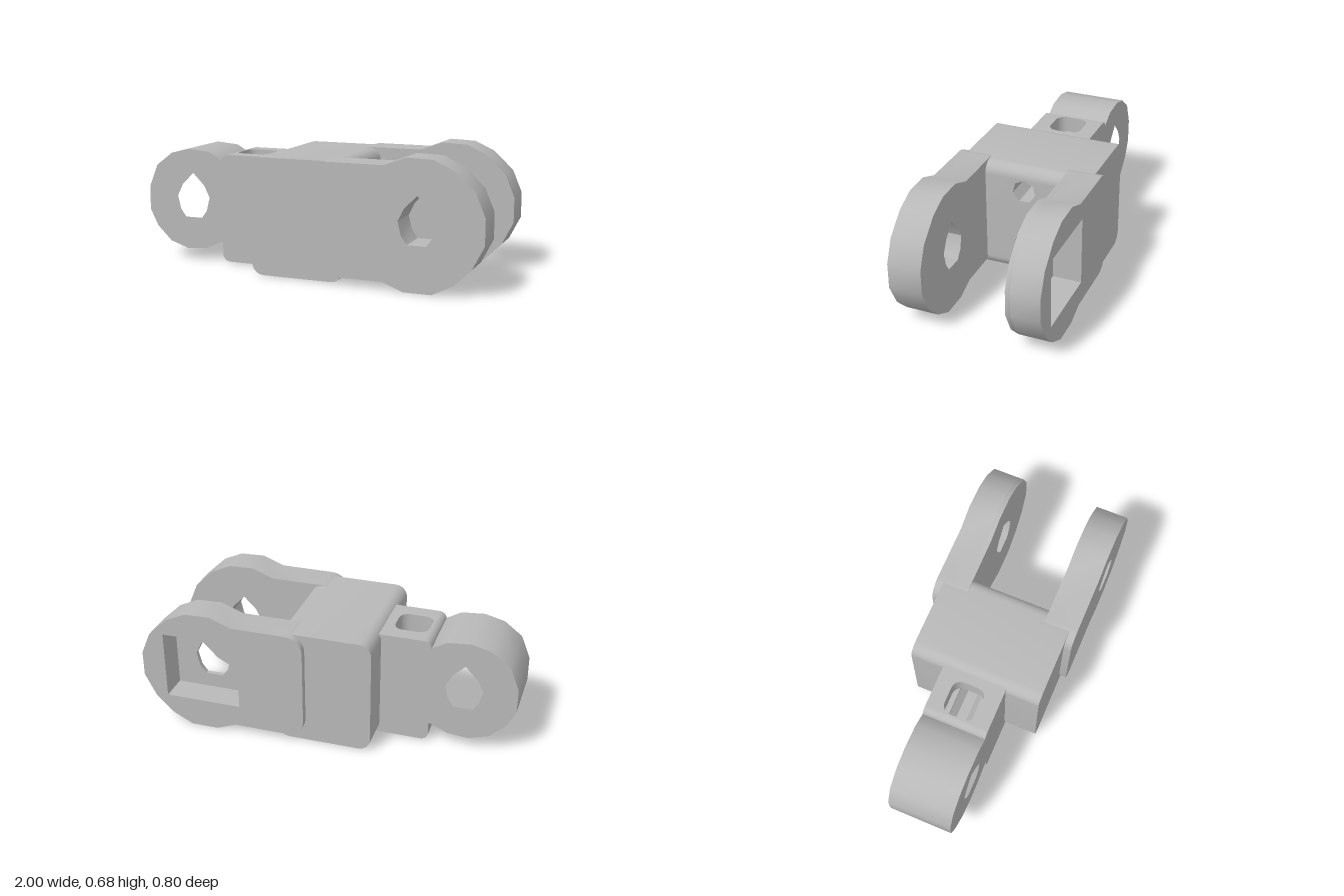
import * as THREE from 'three';
import { toCreasedNormals } from 'three/addons/utils/BufferGeometryUtils.js';

const grey = new THREE.MeshStandardMaterial({ color: 0xb8b8b8 });
grey.name = 'grey';

const pts = (list) => list.map(([x, y]) => new THREE.Vector2(x, y));
const polygon = (list, holes = []) => {
  const s = new THREE.Shape(pts(list));
  s.holes = holes.map((h) => new THREE.Path(pts(h)));
  return s;
};
const rect = (x0, y0, x1, y1) => [[x0, y0], [x1, y0], [x1, y1], [x0, y1]];

// Points of a quarter-circle corner, counted from angle a (in quarter turns)
const corner = (cx, cy, r, a, n = 6) => Array.from({ length: n + 1 }, (_, i) => {
  const t = (a + i / n) * Math.PI / 2;
  return [cx + r * Math.cos(t), cy + r * Math.sin(t)];
});

const heptagon = (cy, r) => Array.from({ length: 7 }, (_, i) => {
  const a = Math.PI / 2 + i * Math.PI * 2 / 7;
  return [r * Math.cos(a), cy + r * Math.sin(a)];
});

// Teardrop pin hole, centred on cx
const pinHole = (cx) => {
  const half = [[0.067, 0.43], [0.1, 0.364], [0.082, 0.29], [0.05, 0.246]];
  return [[cx, 0.497], ...half.map(([x, y]) => [cx + x, y]),
    ...half.slice().reverse().map(([x, y]) => [cx - x, y])];
};

const extrude = (shape, z0, z1) => {
  const g = new THREE.ExtrudeGeometry(shape, { depth: z1 - z0, bevelEnabled: false });
  return g.translate(0, 0, z0);
};

// Extrude through layers [position, inset]; move(p, inset) pulls chosen edges inward
const extrudeLayers = (shape, layers, move) => {
  const n = layers.length - 1;
  const g = new THREE.ExtrudeGeometry(shape, { depth: n, steps: n, bevelEnabled: false });
  const pos = g.attributes.position, p = new THREE.Vector3();
  for (let i = 0; i < pos.count; i++) {
    p.fromBufferAttribute(pos, i);
    const [at, inset] = layers[Math.round(p.z)];
    move(p, inset);
    pos.setXYZ(i, p.x, p.y, at);
  }
  return g;
};

export function createModel() {
  const model = new THREE.Group();
  model.name = 'clevisLink';
  const add = (name, geometry) => {
    const mesh = new THREE.Mesh(toCreasedNormals(geometry, 0.6), grey);
    mesh.name = name;
    model.add(mesh);
  };

  // Central body with two bolt bores along x and rounded end edges
  const x0 = -0.27, x1 = 0.245, yLow = 0.005, yHigh = 0.637, r = 0.065, n = 6;
  const layers = [];
  for (let i = 0; i <= n; i++) {
    const a = i / n * Math.PI / 2;
    layers.push([x0 + r * (1 - Math.cos(a)), r * (1 - Math.sin(a))]);
  }
  for (let i = n; i >= 0; i--) {
    const a = i / n * Math.PI / 2;
    layers.push([x1 - r * (1 - Math.cos(a)), r * (1 - Math.sin(a))]);
  }
  const bodyShape = polygon(rect(-0.36, yLow, 0.36, yHigh),
    [heptagon(0.505, 0.065), heptagon(0.18, 0.061)]);
  const body = extrudeLayers(bodyShape, layers, (p, inset) => {
    if (p.y > yHigh - 0.001) p.y -= inset;
    else if (p.y < yLow + 0.001) p.y += inset;
  });
  add('body', body.rotateY(Math.PI / 2));

  // Fork arms
  const armOutline = [
    ...corner(0.178, 0.55, 0.09, 1), ...corner(0.178, 0.135, 0.09, 2),
    [0.478, 0.045], [0.585, 0.003], [0.735, 0.003], [0.847, 0.06], [0.938, 0.15],
    [1, 0.273], [1, 0.41], [0.949, 0.53], [0.842, 0.631], [0.735, 0.68],
    [0.596, 0.685], [0.478, 0.64],
  ];
  const armShape = polygon(armOutline, [pinHole(0.655)]);
  const pocketShape = polygon(armOutline, [rect(0.45, 0.165, 0.87, 0.54)]);
  add('frontArm', extrude(armShape, 0.22, 0.4));
  add('backArmWeb', extrude(armShape, -0.245, -0.22));
  add('backArmNutPocket', extrude(pocketShape, -0.4, -0.245));

  // Knuckle on the narrow end
  const knuckle = polygon([
    [-1, 0.406], [-0.95, 0.53], [-0.853, 0.604], [-0.746, 0.631], [-0.618, 0.62],
    [-0.527, 0.567], [-0.48, 0.5], [-0.45, 0.4], [-0.45, 0.29], [-0.48, 0.19],
    [-0.543, 0.118], [-0.644, 0.075], [-0.757, 0.064], [-0.869, 0.1],
    [-0.954, 0.182], [-1, 0.273],
  ], [pinHole(-0.72)]);
  add('knuckle', extrude(knuckle, -0.175, 0.175));

  // Tongue core, with the bolt bores showing as troughs above and below
  const core = polygon([
    [-0.175, 0.505], [-0.061, 0.505], [-0.061, 0.491], [-0.027, 0.448], [0.027, 0.448],
    [0.061, 0.491], [0.061, 0.505], [0.175, 0.505], [0.175, 0.18], [0.061, 0.18],
    [0.049, 0.219], [0, 0.243], [-0.049, 0.219], [-0.061, 0.18], [-0.175, 0.18],
  ]);
  add('tongueCore', extrude(core, -0.54, -0.24).rotateY(Math.PI / 2));

  // Slotted tongue plates, rounded at the outer edge next to the knuckle
  const s = 0.05, slot = [
    ...corner(-0.31 - s, 0.09 - s, s, 0, 4), ...corner(-0.495 + s, 0.09 - s, s, 1, 4),
    ...corner(-0.495 + s, -0.09 + s, s, 2, 4), ...corner(-0.31 - s, -0.09 + s, s, 3, 4),
  ];
  const plateShape = polygon(rect(-0.54, -0.175, -0.24, 0.175), [slot]);
  const plate = (height) => {
    const edge = 0.042, rows = [[0, 0]];
    for (let i = 0; i <= 5; i++) {
      const a = i / 5 * Math.PI / 2;
      rows.push([height - edge + edge * Math.sin(a), edge * (1 - Math.cos(a))]);
    }
    return extrudeLayers(plateShape, rows, (p, inset) => {
      if (p.x < -0.539) p.x += inset;
    }).rotateX(-Math.PI / 2);
  };
  add('upperTonguePlate', plate(0.105).translate(0, 0.505, 0));
  add('lowerTonguePlate', plate(0.17).rotateX(Math.PI).translate(0, 0.18, 0));

  return model;
}
